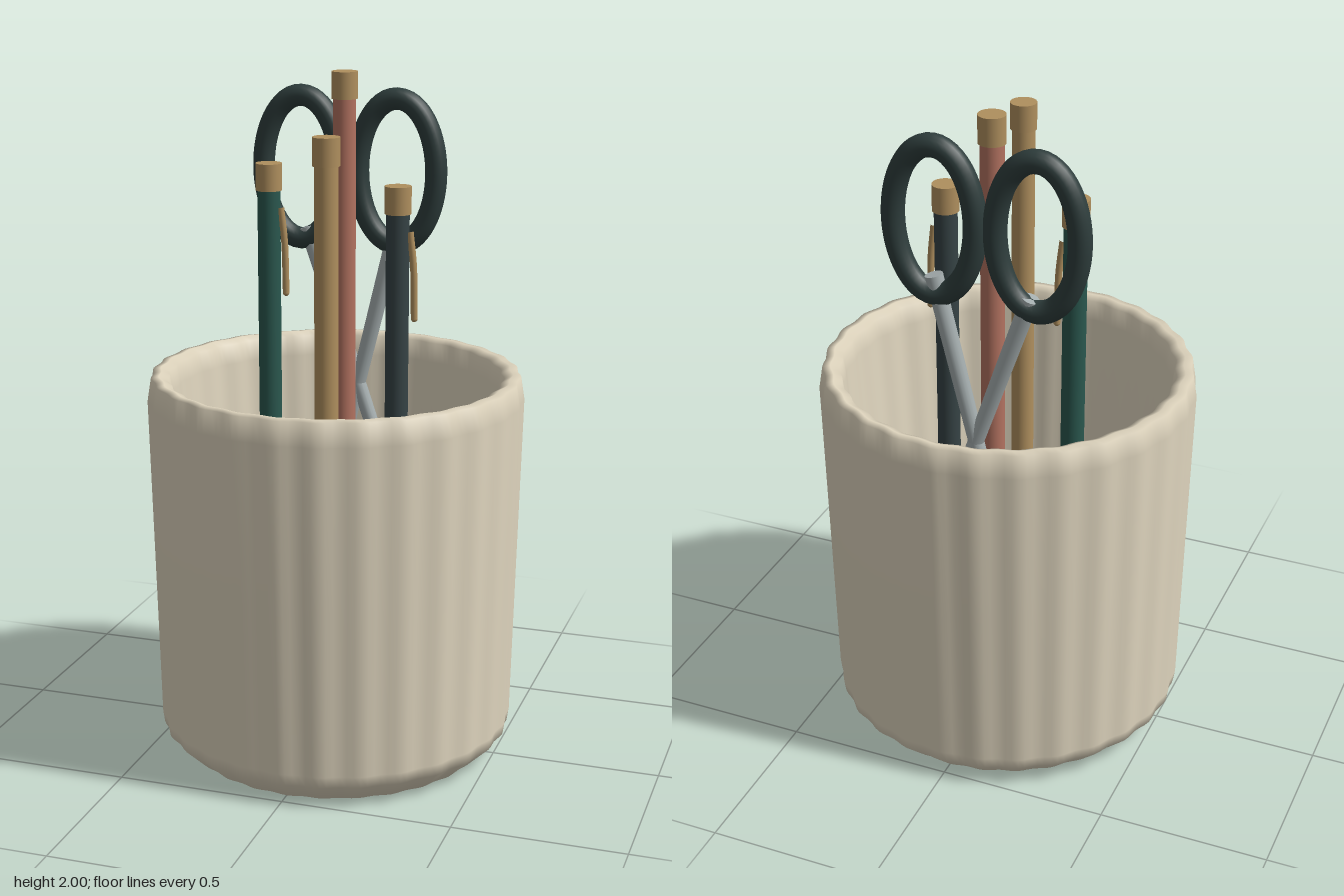
import * as THREE from 'three';
import { mergeVertices } from 'three/addons/utils/BufferGeometryUtils.js';

const mat = (name, color) => {
  const m = new THREE.MeshStandardMaterial({ color });
  m.name = name;
  return m;
};

export function createModel() {
  const clay = mat('clay', 0xdfd5be);
  const base = mat('baseBrown', 0x957648);
  const teal = mat('teal', 0x2a574e);
  const red = mat('terracotta', 0xb27260);
  const gold = mat('gold', 0xaf8f5e);
  const slate = mat('slate', 0x364345);
  const grip = mat('gripDark', 0x2e3d3c);
  const steel = mat('steel', 0xa4adae);

  const model = new THREE.Group();
  model.name = 'deskCup';
  const add = (parent, name, geometry, material, x = 0, y = 0, z = 0) => {
    const mesh = new THREE.Mesh(geometry, material);
    mesh.name = name;
    mesh.position.set(x, y, z);
    parent.add(mesh);
    return mesh;
  };

  // Fluted cup: a turned profile whose radius ripples around the axis
  const RIBS = 28;
  const profile = [
    [0, 0.004], [0.43, 0.004], [0.455, 0], [0.522, 0.065], [0.527, 0.1],
    [0.538, 0.6], [0.549, 1.08], [0.538, 1.148], [0.515, 1.152],
    [0.49, 1.14], [0.482, 1.08], [0.45, 0.55], [0.42, 0.08], [0, 0.08],
  ].map(([r, y]) => new THREE.Vector2(r, y));
  let cup = new THREE.LatheGeometry(profile, RIBS * 6);
  const p = cup.attributes.position;
  for (let i = 0; i < p.count; i++) {
    const x = p.getX(i), z = p.getZ(i);
    const k = 1 + 0.0075 * Math.cos(RIBS * Math.atan2(x, z));
    p.setX(i, x * k);
    p.setZ(i, z * k);
  }
  cup.deleteAttribute('normal');
  cup.deleteAttribute('uv');
  cup = mergeVertices(cup, 1e-5);
  cup.computeVertexNormals();
  add(model, 'flutedCup', cup, clay);
  add(model, 'basePad', new THREE.CylinderGeometry(0.43, 0.43, 0.008, 64), base, 0, 0.004, 0);

  // Pens and pencils: straight body, capped end, optional pocket clip
  const FLOOR = 0.08, CAP = 0.08;
  const pens = [
    ['tealPen', teal, -0.237, -0.09, 1.74, true],
    ['redPencil', red, -0.045, -0.22, 2.0, false],
    ['goldPencil', gold, 0.042, 0.215, 1.87, false],
    ['slatePen', slate, 0.172, -0.046, 1.7, true],
  ];
  for (const [name, material, x, z, top, hasClip] of pens) {
    const pen = new THREE.Group();
    pen.name = name;
    pen.position.set(x, 0, z);
    model.add(pen);
    const h = top - CAP - FLOOR;
    add(pen, 'body', new THREE.CylinderGeometry(0.034, 0.034, h, 24), material, 0, FLOOR + h / 2, 0);
    add(pen, 'endCap', new THREE.CylinderGeometry(0.039, 0.039, CAP, 24), gold, 0, top - CAP / 2, 0);
    if (hasClip) {
      const path = new THREE.CatmullRomCurve3([
        new THREE.Vector3(0.037, top - 0.13, 0),
        new THREE.Vector3(0.048, top - 0.23, 0),
        new THREE.Vector3(0.052, top - 0.385, 0),
      ]);
      add(pen, 'clip', new THREE.TubeGeometry(path, 12, 0.01, 10), gold);
      add(pen, 'clipTip', new THREE.SphereGeometry(0.01, 10, 8), gold, 0.052, top - 0.385, 0);
    }
  }

  // Scissors: two oval finger loops and two crossing round blades
  const scissors = new THREE.Group();
  scissors.name = 'scissors';
  scissors.position.z = -0.289;
  model.add(scissors);
  class Oval extends THREE.Curve {
    getPoint(t, target = new THREE.Vector3()) {
      const a = t * Math.PI * 2;
      return target.set(0.121 * Math.cos(a), 0.217 * Math.sin(a), 0);
    }
  }
  const loop = new THREE.TubeGeometry(new Oval(), 64, 0.033, 16, true);
  add(scissors, 'rightLoop', loop, grip, -0.203, 1.7, 0);
  add(scissors, 'leftLoop', loop, grip, 0.097, 1.7, 0);
  const blade = (name, x0, y0, x1, y1) => {
    const d = new THREE.Vector3(x1 - x0, y1 - y0, 0);
    const geometry = new THREE.CylinderGeometry(0.026, 0.02, d.length(), 16);
    const mesh = add(scissors, name, geometry, steel, (x0 + x1) / 2, (y0 + y1) / 2, 0);
    mesh.quaternion.setFromUnitVectors(new THREE.Vector3(0, -1, 0), d.normalize());
  };
  blade('rightBlade', -0.185, 1.52, 0.13, 0.6);
  blade('leftBlade', 0.1, 1.54, -0.13, 0.6);

  return model;
}
